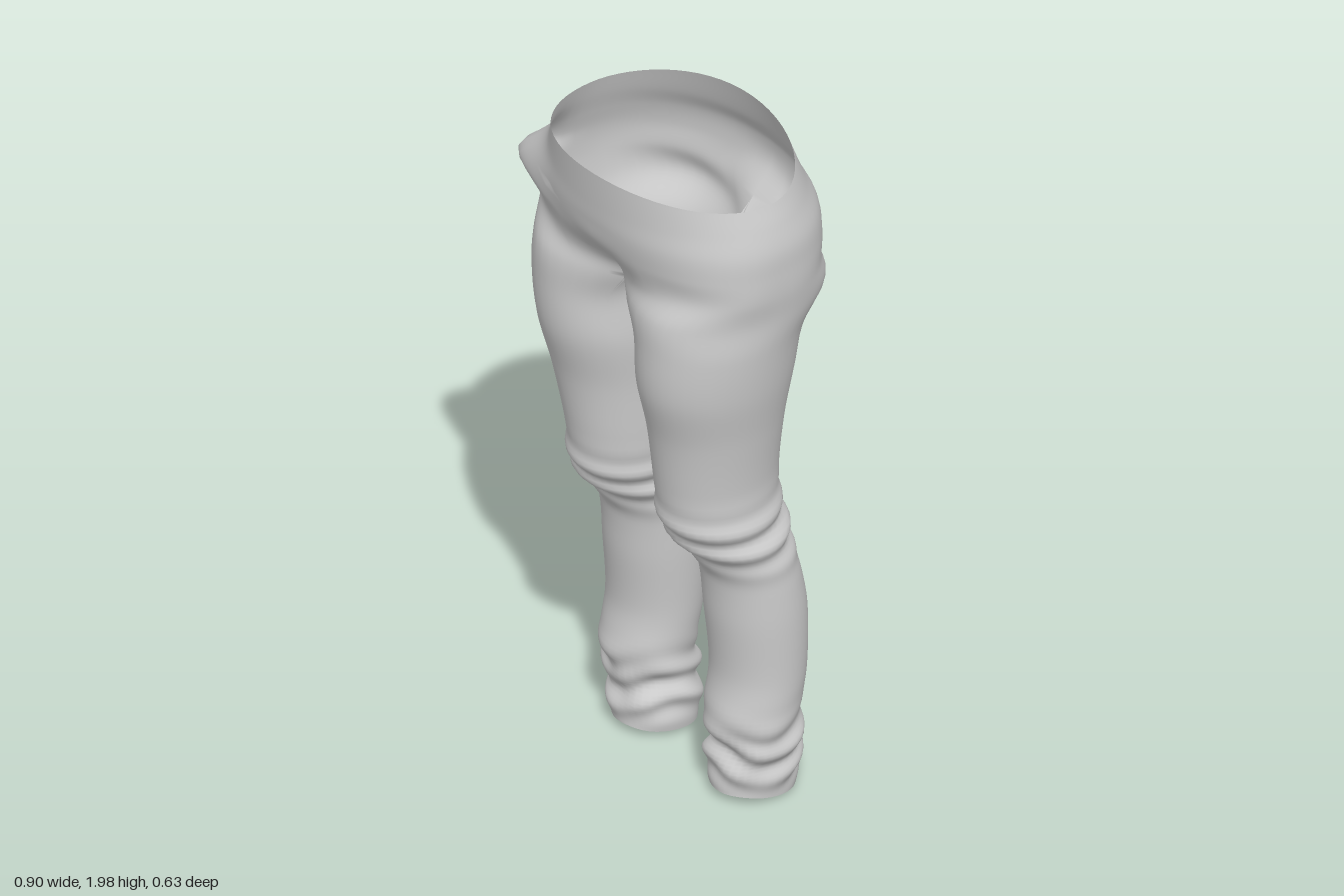
import * as THREE from 'three';
import { mergeVertices } from 'three/addons/utils/BufferGeometryUtils.js';

const MID = 0.02;              // x of the centre seam
const SPAN = 2.42;             // half angle of a leg ring that belongs to the outer panel
const OUTER = 30, INNER = 12;  // columns on the outer panel and the inseam panel
const SUB = 8;                 // rows between two key sections

// Pelvis sections: y, right x, left x, front z, back z, roundness exponent
const pelvis = [
  [1.95, -0.345, 0.41, 0.31, -0.25, 1],
  [1.89, -0.365, 0.432, 0.3, -0.285, 0.97],
  [1.82, -0.39, 0.45, 0.292, -0.316, 0.92],
  [1.75, -0.41, 0.452, 0.275, -0.316, 0.86],
  [1.68, -0.415, 0.45, 0.255, -0.3, 0.8],
];

// Leg sections: y, right leg outer/inner x, left leg inner/outer x, front z, back z
const legs = [
  [1.6, -0.41, MID, MID, 0.44, 0.262, -0.285],
  [1.5, -0.402, 0.018, 0.036, 0.432, 0.268, -0.212],
  [1.36, -0.382, 0.018, 0.048, 0.415, 0.262, -0.186],
  [1.2, -0.355, 0.005, 0.058, 0.385, 0.222, -0.163],
  [1.02, -0.315, -0.005, 0.066, 0.362, 0.196, -0.153],
  [0.9, -0.318, -0.015, 0.065, 0.37, 0.178, -0.163],
  [0.8, -0.322, -0.03, 0.095, 0.375, 0.105, -0.178],
  [0.72, -0.322, -0.035, 0.1, 0.378, 0.063, -0.198],
  [0.58, -0.328, -0.04, 0.102, 0.384, 0.048, -0.222],
  [0.4, -0.33, -0.055, 0.11, 0.38, 0.032, -0.22],
  [0.26, -0.328, -0.066, 0.115, 0.376, 0.055, -0.2],
  [0.18, -0.318, -0.068, 0.118, 0.37, 0.035, -0.205],
  [0.1, -0.295, -0.06, 0.12, 0.358, 0.045, -0.21],
  [0.03, -0.285, -0.065, 0.135, 0.348, 0.04, -0.195],
];

// Point on the pelvis: s runs from front centre (0) round the hip to back centre (1)
function pelvisPoint(k, s, side) {
  const [y, xr, xl, zf, zb, p] = pelvis[k];
  const c = Math.cos(Math.PI * s);
  const sn = Math.max(0, Math.sin(Math.PI * s));
  const x = MID + ((side > 0 ? xl : xr) - MID) * Math.pow(sn, p);
  let z = (c > 0 ? zf : -zb) * Math.sign(c) * Math.pow(Math.abs(c), p);
  // shallow centre dip towards the crotch
  if (k === 4) z *= 1 - 0.14 * Math.exp(-(((x - MID) / 0.09) ** 2));
  return new THREE.Vector3(x, y + (k === 0 ? 0.045 * c * c : 0), z);
}

// Point on a leg ring: angle 0 is the outer side, PI the inseam
function legPoint(k, angle, side) {
  const [y, ro, ri, li, lo, zf, zb] = legs[k];
  const inner = side > 0 ? li : ri, outer = side > 0 ? lo : ro;
  const cx = (inner + outer) / 2, w = (outer - inner) / 2;
  const zc = (zf + zb) / 2, d = (zf - zb) / 2;
  let c = Math.cos(angle), yy = y;
  if (k === 0) {
    // crotch ring: the inseam is flattened onto the centre seam and sags
    if (c < 0) c = Math.max(-1, c / Math.abs(Math.cos(SPAN)));
    const z = d * Math.sin(angle) / (d * Math.sin(SPAN));
    if (c <= -0.999) yy -= 0.035 * Math.max(0, 1 - z * z);
  }
  const z = zc + d * Math.sin(angle);
  if (k === legs.length - 1) yy += 0.12 * (z - zc);
  return new THREE.Vector3(cx + w * c, yy, z);
}

// Cloth detail: hip pocket peak, knee folds and bunched ankles
function drape(p, angle, side) {
  if (side < 0 && p.x < -0.2 && p.y > 1.55) {
    const dy = (p.y - 1.765) / (p.y > 1.765 ? 0.08 : 0.035);
    const b = Math.exp(-dy * dy - ((p.z - 0.15) / 0.075) ** 2);
    p.x -= 0.085 * b;
    p.z += 0.015 * b;
  }
  const knee = Math.exp(-(((p.y - 0.86) / 0.085) ** 2));
  const ankle = Math.exp(-(((p.y - 0.16) / 0.09) ** 2));
  const push = 0.011 * knee * Math.sin(p.y * 75 + 2.2 * Math.sin(angle + side))
    + 0.011 * ankle * Math.sin(p.y * 70 + 2 * Math.sin(2 * angle + side))
    + 0.005 * ankle * Math.sin(5 * angle + p.y * 25);
  p.x += side * push * Math.cos(angle);
  p.z += push * Math.sin(angle);
  return p;
}

// Adds a panel made of vertical curves, one per column
function addPanel(columns, side, positions, index) {
  const base = positions.length / 3;
  const rows = (columns[0].keys.length - 1) * SUB;
  const n = columns.length;
  const curves = columns.map(c => new THREE.CatmullRomCurve3(c.keys, false, 'catmullrom', 0.5));
  for (let r = 0; r <= rows; r++) {
    for (let c = 0; c < n; c++) {
      const p = drape(curves[c].getPoint(r / rows), columns[c].angle, side);
      positions.push(p.x, p.y, p.z);
    }
  }
  for (let r = 0; r < rows; r++) {
    for (let c = 0; c < n - 1; c++) {
      const a = base + r * n + c, b = a + 1, d = a + n, e = d + 1;
      if (side > 0) index.push(a, d, b, b, d, e);
      else index.push(a, b, d, b, e, d);
    }
  }
}

export function createModel() {
  const positions = [], index = [];
  for (const side of [1, -1]) {
    // outer panel: waist to hem
    const outer = [];
    for (let i = 0; i <= OUTER; i++) {
      const s = i / OUTER, angle = SPAN * (1 - 2 * s);
      outer.push({
        angle,
        keys: [...pelvis.map((_, k) => pelvisPoint(k, s, side)),
          ...legs.map((_, k) => legPoint(k, angle, side))],
      });
    }
    addPanel(outer, side, positions, index);

    // inseam panel: crotch to hem, sharing its edge columns with the outer panel
    const inseam = [];
    for (let i = 0; i <= INNER; i++) {
      const angle = -SPAN - (2 * Math.PI - 2 * SPAN) * i / INNER;
      const edge = i === 0 ? outer[OUTER] : i === INNER ? outer[0] : null;
      const keys = legs.map((_, k) => edge ? edge.keys[pelvis.length + k] : legPoint(k, angle, side));
      inseam.push({ angle, keys });
    }
    addPanel(inseam, side, positions, index);
  }

  let geometry = new THREE.BufferGeometry();
  geometry.setAttribute('position', new THREE.Float32BufferAttribute(positions, 3));
  geometry.setIndex(index);
  geometry = mergeVertices(geometry, 1e-4);
  geometry.computeVertexNormals();

  const trousers = new THREE.Mesh(geometry,
    new THREE.MeshStandardMaterial({ color: 0xcccccc, side: THREE.DoubleSide }));
  trousers.name = 'trousers';
  const group = new THREE.Group();
  group.name = 'trousersModel';
  group.add(trousers);
  // stand on the ground
  geometry.computeBoundingBox();
  trousers.position.y = -geometry.boundingBox.min.y;
  return group;
}
